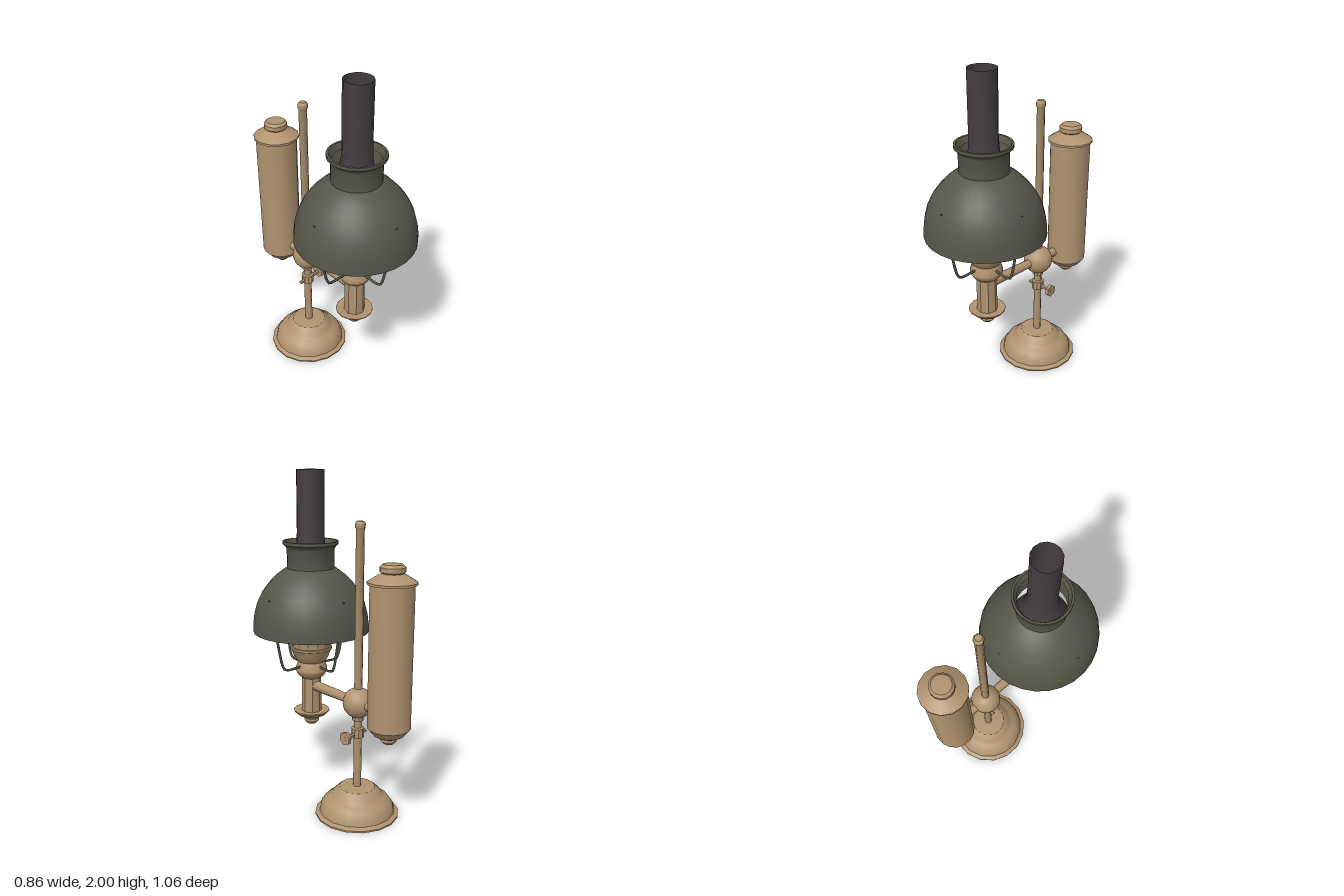
import * as THREE from 'three';
import { toCreasedNormals } from 'three/addons/utils/BufferGeometryUtils.js';

const material = (name, color, side = THREE.FrontSide) => {
  const m = new THREE.MeshStandardMaterial({ color, side });
  m.name = name;
  return m;
};

export function createModel() {
  const brass = material('brass', 0xb0936f, THREE.DoubleSide);
  const olive = material('olive shade', 0x57564a, THREE.DoubleSide);
  const smoke = material('dark chimney', 0x443d40, THREE.DoubleSide);
  const red = material('red glass', 0xb26044, THREE.DoubleSide);

  const root = new THREE.Group();
  root.name = 'tableLamp';

  const group = (name, x, z) => {
    const g = new THREE.Group();
    g.name = name;
    g.position.set(x, 0, z);
    root.add(g);
    return g;
  };
  const add = (parent, name, geometry, mat) => {
    const mesh = new THREE.Mesh(geometry, mat);
    mesh.name = name;
    parent.add(mesh);
    return mesh;
  };
  // Profile of [radius, height] points, listed upwards
  const lathe = (parent, name, points, mat, sides = 14, crease = 0.6) =>
    add(parent, name, toCreasedNormals(
      new THREE.LatheGeometry(points.map(([r, y]) => new THREE.Vector2(r, y)), sides), crease), mat);
  // Straight rod between two points
  const rod = (parent, name, a, b, r1, r2, mat, sides = 8) => {
    const dir = b.clone().sub(a);
    const mesh = add(parent, name, toCreasedNormals(
      new THREE.CylinderGeometry(r2, r1, dir.length(), sides), 0.9), mat);
    mesh.position.copy(a).addScaledVector(dir, 0.5);
    mesh.quaternion.setFromUnitVectors(new THREE.Vector3(0, 1, 0), dir.normalize());
    return mesh;
  };
  const v = (x, y, z) => new THREE.Vector3(x, y, z);

  // Stand: stepped foot, pole and pivot ball
  const stand = group('stand', -0.16, -0.18);
  lathe(stand, 'foot', [[0, 0], [0.25, 0], [0.25, 0.01], [0.225, 0.022], [0.218, 0.055], [0.195, 0.09],
    [0.165, 0.112], [0.155, 0.118], [0.145, 0.135], [0.12, 0.16], [0.105, 0.172], [0.03, 0.177], [0, 0.177]], brass, 16);
  lathe(stand, 'pole', [[0.024, 0.17], [0.024, 1.695], [0.029, 1.7], [0.029, 1.725], [0.02, 1.737], [0, 1.737]], brass, 8, 0.9);
  add(stand, 'pivotBall', new THREE.SphereGeometry(0.09, 18, 12), brass).position.y = 0.7;
  lathe(stand, 'poleCollar', [[0.024, 0.485], [0.038, 0.49], [0.038, 0.545], [0.024, 0.55]], brass, 10);
  lathe(stand, 'ballCollar', [[0.034, 0.595], [0.034, 0.63]], brass, 10);

  // Thumbscrew through the collar
  rod(stand, 'thumbscrewStem', v(-0.05, 0.51, 0.04), v(0.09, 0.51, -0.072), 0.012, 0.012, brass, 6);
  rod(stand, 'thumbscrewHead', v(0.072, 0.508, -0.058), v(0.088, 0.508, -0.071), 0.04, 0.04, brass, 6);

  // Arms from the ball to the burner and to the tank
  rod(stand, 'burnerArm', v(0, 0.7, 0), v(0.24, 0.7, 0.36), 0.026, 0.034, brass);
  rod(stand, 'tankArm', v(0, 0.7, 0), v(-0.13, 0.7, -0.2), 0.028, 0.028, brass);

  // Oil tank
  const tank = group('oilTank', -0.3, -0.395);
  lathe(tank, 'tankBody', [[0.07, 0.578], [0.09, 0.59], [0.122, 0.63], [0.122, 1.43]], brass, 16);
  lathe(tank, 'tankLid', [[0.12, 1.43], [0.135, 1.43], [0.135, 1.443], [0.075, 1.48], [0.06, 1.487], [0.069, 1.495],
    [0.069, 1.52], [0.055, 1.535], [0, 1.538]], brass);
  lathe(tank, 'tankDrain', [[0, 0.53], [0.03, 0.535], [0.047, 0.552], [0.047, 0.568], [0.035, 0.578],
    [0.07, 0.58]], brass, 12);

  // Burner column, drip dish and fuel bowl
  const burner = group('burner', 0.08, 0.18);
  lathe(burner, 'finial', [[0, 0.44], [0.03, 0.445], [0.047, 0.465], [0.045, 0.48], [0.03, 0.495]], brass, 12);
  lathe(burner, 'dripDish', [[0.03, 0.49], [0.06, 0.492], [0.088, 0.507], [0.112, 0.53], [0.112, 0.536], [0.05, 0.53]], brass);
  lathe(burner, 'column', [[0.063, 0.525], [0.06, 0.76]], brass, 8);
  lathe(burner, 'fuelBowl', [[0.06, 0.75], [0.08, 0.765], [0.098, 0.795], [0.098, 0.81], [0.082, 0.855], [0.09, 0.862],
    [0.108, 0.89], [0.122, 0.93], [0.128, 0.935], [0.128, 0.948], [0.118, 0.95]], brass, 16);
  lathe(burner, 'gallery', [[0.118, 0.945], [0.128, 1.0], [0.138, 1.06]], brass, 28);

  // Pointed gallery teeth with red diamonds between them
  const tooth = new THREE.Shape([[-0.0155, 0], [0.0155, 0], [0, 0.045]].map(p => new THREE.Vector2(...p)));
  const diamond = new THREE.Shape([[0, -0.045], [0.011, 0], [0, 0.045], [-0.011, 0]].map(p => new THREE.Vector2(...p)));
  const count = 14;
  for (let i = 0; i < count; i++) {
    const place = (name, shape, mat, turn, r, y) => {
      const m = add(burner, name, new THREE.ShapeGeometry(shape), mat);
      m.rotation.order = 'YXZ';
      m.rotation.set(0.16, turn, 0);
      m.position.set(r * Math.sin(turn), y, r * Math.cos(turn));
    };
    const a = i / count * Math.PI * 2;
    place('galleryTooth', tooth, brass, a, 0.139, 1.055);
    place('galleryDiamond', diamond, red, a + Math.PI / count, 0.132, 1.0);
  }

  // Glass: red lower bulb, dark tapered chimney, wick disc
  lathe(burner, 'redBulb', [[0, 1.0], [0.11, 1.0], [0.132, 1.05], [0.155, 1.1], [0.18, 1.16], [0.187, 1.2]], red, 20);
  lathe(burner, 'wick', [[0.04, 1.0], [0.04, 1.06], [0, 1.06]], olive, 8);
  lathe(burner, 'chimney', [[0.187, 1.2], [0.18, 1.26], [0.158, 1.33], [0.132, 1.4], [0.1, 1.48], [0.086, 1.56],
    [0.082, 1.64], [0.082, 2.0]], smoke, 14);

  // Domed shade with a flared neck
  lathe(burner, 'shade', [[0.34, 1.05], [0.352, 1.05], [0.35, 1.1], [0.342, 1.16], [0.324, 1.225], [0.295, 1.285],
    [0.254, 1.34], [0.205, 1.39], [0.155, 1.428], [0.142, 1.432], [0.142, 1.545], [0.15, 1.56], [0.165, 1.573],
    [0.165, 1.592], [0.152, 1.592], [0.136, 1.555]], olive, 28);

  // Four bent wire brackets holding the shade
  const wirePath = new THREE.CatmullRomCurve3(
    [[0.09, 0.83], [0.17, 0.825], [0.205, 0.835], [0.225, 0.88], [0.25, 1.0], [0.262, 1.08], [0.3, 1.27]]
      .map(([r, y]) => v(0, y, r)), false, 'catmullrom', 0.3);
  const wire = new THREE.TubeGeometry(wirePath, 24, 0.008, 5);
  for (let i = 0; i < 4; i++) {
    add(burner, 'shadeBracket', wire, olive).rotation.y = 0.58 + i * Math.PI / 2;
  }

  return root;
}
